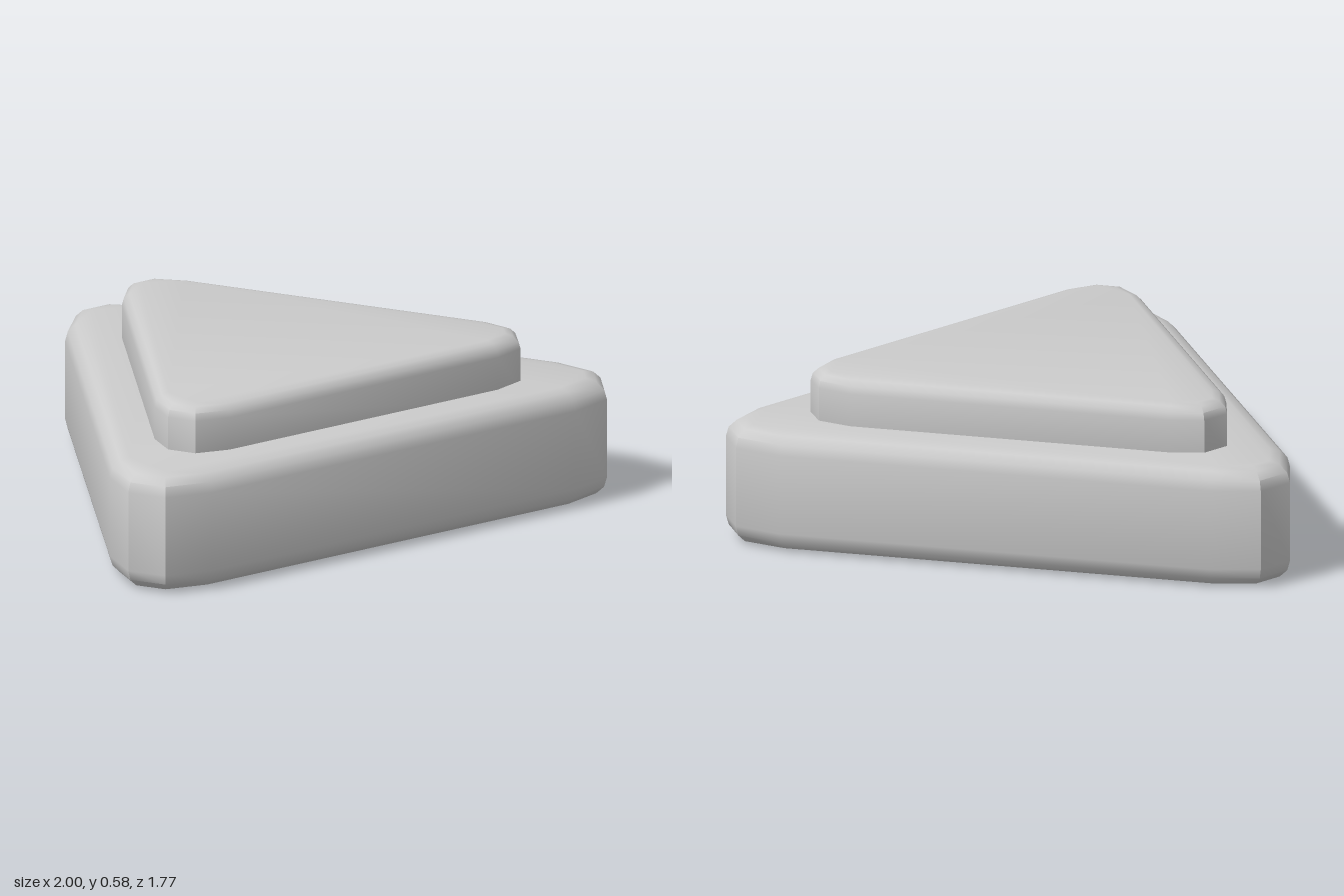
import * as THREE from 'three';
import { toCreasedNormals } from 'three/addons/utils/BufferGeometryUtils.js';

const material = new THREE.MeshStandardMaterial({ color: 0xcccccc });

// Triangular slab with blunted corners and rounded rims.
// half: right half of the outline as [x, z], from back to front.
function slab(name, half, bottom, top, bevel) {
  const right = half.map(([x, z]) => new THREE.Vector2(x, -z));
  const left = right.map((p) => new THREE.Vector2(-p.x, p.y)).reverse();
  const geometry = new THREE.ExtrudeGeometry(new THREE.Shape([...right, ...left]), {
    depth: top - bottom - 2 * bevel,
    bevelEnabled: true,
    bevelThickness: bevel,
    bevelSize: bevel,
    bevelOffset: -bevel,
    bevelSegments: 3,
  });
  geometry.rotateX(-Math.PI / 2);
  geometry.translate(0, bottom + bevel, 0);
  const mesh = new THREE.Mesh(toCreasedNormals(geometry, 0.68), material);
  mesh.name = name;
  return mesh;
}

export function createModel() {
  const group = new THREE.Group();
  group.name = 'triangularButton';

  // Wide base
  group.add(slab('base', [
    [0.07, -0.89], [0.195, -0.765], [0.955, 0.55],
    [1, 0.72], [0.93, 0.84], [0.765, 0.885],
  ], 0, 0.42, 0.07));

  // Raised plate, sunk slightly into the base
  group.add(slab('raisedPlate', [
    [0.055, -0.6], [0.14, -0.51], [0.705, 0.465],
    [0.735, 0.585], [0.685, 0.675], [0.565, 0.71],
  ], 0.34, 0.585, 0.05));

  return group;
}
